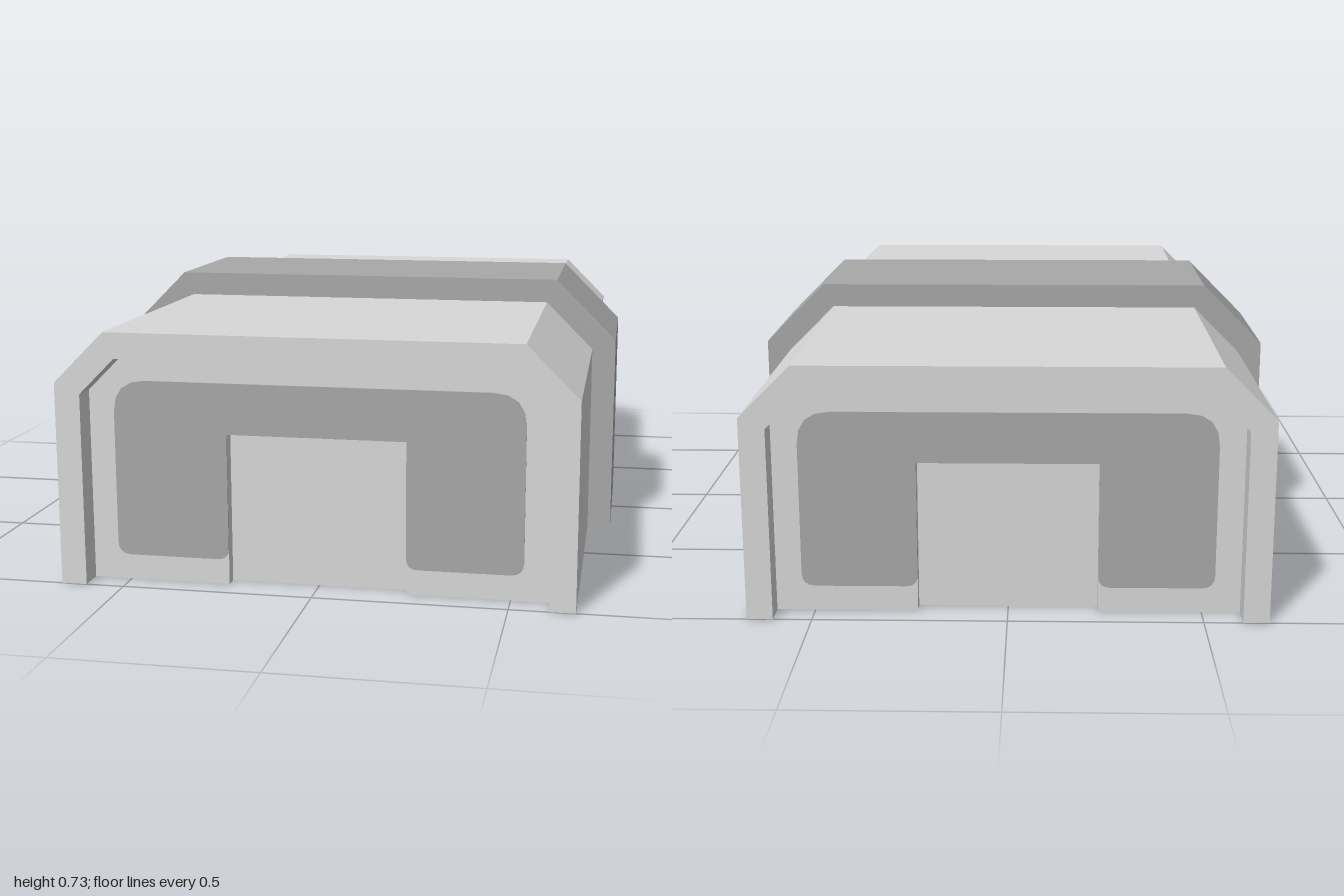
import * as THREE from 'three';

// Chamfered arch outline standing on y = 0: half-width and height w, corner cut c
const archPoints = (w, c) => [
  [w, 0], [w, w - c], [w - c, w], [-w + c, w], [-w, w - c], [-w, 0],
];

// Closed outline with a corner radius per point: [x, y, r]
function roundedShape(points) {
  const shape = new THREE.Shape();
  const n = points.length;
  const toward = (a, b, d) => {
    const k = d / Math.hypot(b[0] - a[0], b[1] - a[1]);
    return [a[0] + (b[0] - a[0]) * k, a[1] + (b[1] - a[1]) * k];
  };
  points.forEach((p, i) => {
    const r = p[2] || 0;
    const start = toward(p, points[(i + n - 1) % n], r);
    const end = toward(p, points[(i + 1) % n], r);
    if (i === 0) shape.moveTo(...start);
    else shape.lineTo(...start);
    if (r > 0) shape.quadraticCurveTo(p[0], p[1], ...end);
  });
  shape.closePath();
  return shape;
}

export function createModel() {
  const lightGrey = new THREE.MeshStandardMaterial({ color: 0xd8d8d8 });
  lightGrey.name = 'lightGrey';
  const midGrey = new THREE.MeshStandardMaterial({ color: 0xa8a8a8 });
  midGrey.name = 'midGrey';

  const model = new THREE.Group();
  model.name = 'shelter';

  const slab = (name, shape, z0, z1, material, parent) => {
    const geometry = new THREE.ExtrudeGeometry(shape, {
      depth: z1 - z0, bevelEnabled: false, curveSegments: 4,
    });
    geometry.translate(0, 0, z0);
    const mesh = new THREE.Mesh(geometry, material);
    mesh.name = name;
    parent.add(mesh);
  };

  // Hollow arch between an outer and an inner outline, open underneath
  const ring = (outer, inner) =>
    roundedShape([...archPoints(...outer), ...archPoints(...inner).reverse()]);

  const outside = [0.667, 0.134];
  const inside = [0.6, 0.095];
  slab('shell', ring(outside, inside), -1, 1, lightGrey, model);
  slab('middleBand', ring([0.733, 0.172], outside), -0.233, 0.233, midGrey, model);

  // End wall outlines: full sheet, and sheet with a doorway cut from the bottom
  const d = 0.233, doorTop = 0.4;
  const doorway = [[-d, 0], [-d, doorTop], [d, doorTop], [d, 0]];
  const sheet = roundedShape(archPoints(...inside));
  const cutSheet = roundedShape([...archPoints(...inside), ...doorway]);

  // Wide window that wraps over the doorway
  const windowShape = roundedShape([
    [0.533, 0.067, 0.035], [0.533, 0.533, 0.085],
    [-0.533, 0.533, 0.085], [-0.533, 0.067, 0.035],
    [-d, 0.067, 0.03], [-d, doorTop, 0], [d, doorTop, 0], [d, 0.067, 0.03],
  ]);

  // Matching recessed walls at both ends
  for (const [name, turn] of [['frontWall', 0], ['backWall', Math.PI]]) {
    const wall = new THREE.Group();
    wall.name = name;
    wall.rotation.y = turn;
    slab('doorAndInnerWall', sheet, 0.867, 0.9, lightGrey, wall);
    slab('outerWall', cutSheet, 0.9, 0.933, lightGrey, wall);
    slab('outerWindow', windowShape, 0.932, 0.936, midGrey, wall);
    slab('innerWindow', windowShape, 0.864, 0.868, midGrey, wall);
    model.add(wall);
  }
  return model;
}
